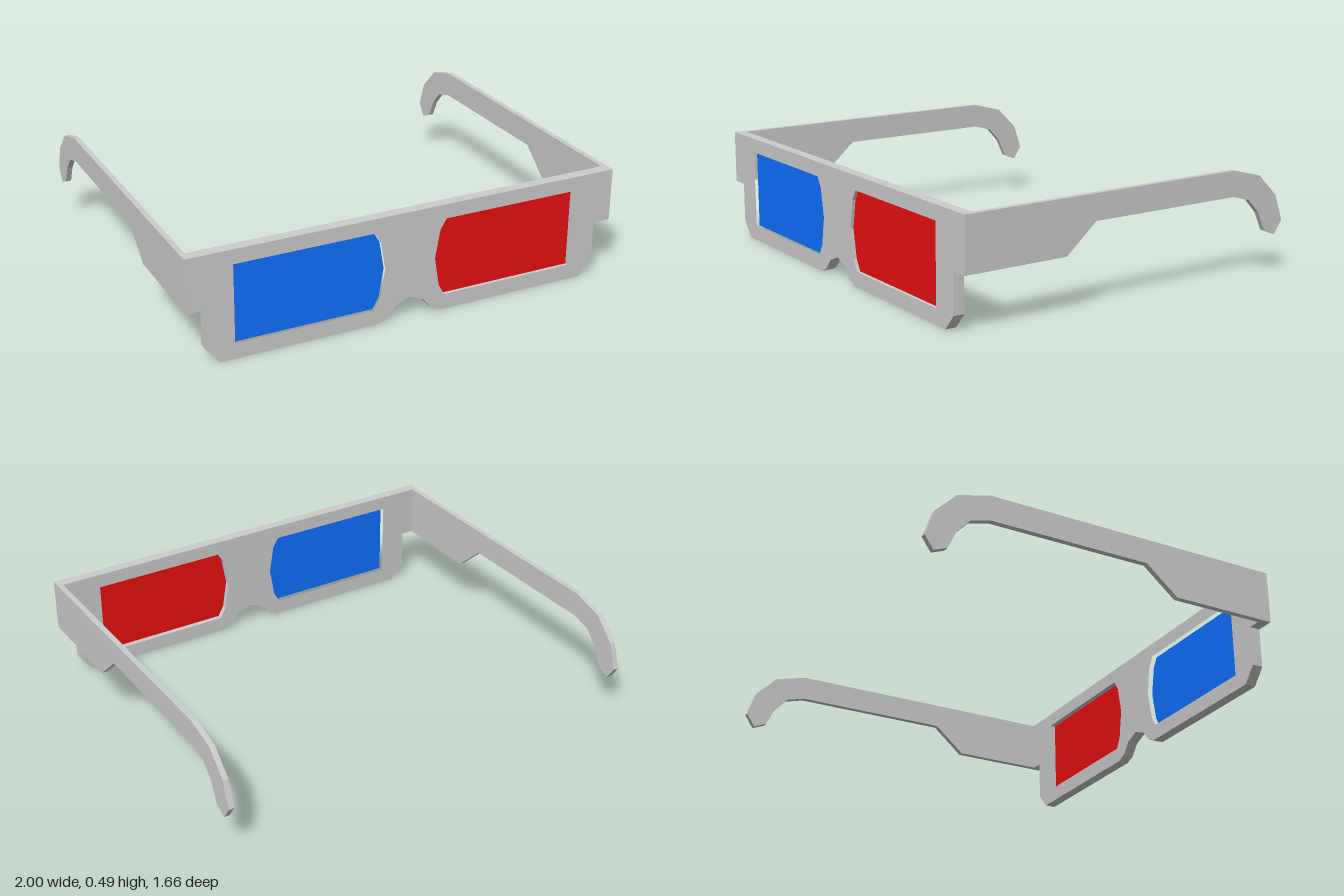
import * as THREE from 'three';

const FRONT_Z = 0.83, FRAME_DEPTH = 0.05, ARM_DEPTH = 0.025;

const vecs = (pts) => pts.map(([x, y]) => new THREE.Vector2(x, y));
const mirror = (pts) => pts.map(([x, y]) => [-x, y]);
const extrude = (shape, depth) =>
  new THREE.ExtrudeGeometry(shape, { depth, bevelEnabled: false });

// Half outline of the frame, from the top corner down to the nose bridge
const frameHalf = [
  [1, 0.49], [1, 0.25], [0.92, 0.25], [0.92, 0.07], [0.86, 0],
  [0.15, 0], [0.108, 0.018], [0.065, 0.07],
];

// Lens opening on the +x side
const lensOutline = [
  [0.795, 0.425], [0.168, 0.425], [0.14, 0.378], [0.118, 0.25],
  [0.14, 0.12], [0.168, 0.07], [0.795, 0.07],
];

// Side profile of an arm as [z, y], with the ear hook at the back
const armProfile = [
  [FRONT_Z - FRAME_DEPTH, 0.49], [-0.54, 0.49], [-0.69, 0.45], [-0.79, 0.35],
  [-0.83, 0.235], [-0.79, 0.175], [-0.73, 0.2], [-0.69, 0.285],
  [-0.63, 0.35], [-0.54, 0.375], [0.2, 0.375], [0.345, 0.25],
  [FRONT_Z - FRAME_DEPTH, 0.25],
];

export function createModel() {
  const group = new THREE.Group();
  const add = (name, geometry, color = 0xcccccc) => {
    const material = new THREE.MeshStandardMaterial({ color });
    const mesh = new THREE.Mesh(geometry, material);
    mesh.name = name;
    group.add(mesh);
  };

  // Front frame with two lens openings
  const frame = new THREE.Shape(
    vecs([...frameHalf, [0, 0.095], ...mirror(frameHalf).reverse()]));
  for (const pts of [lensOutline, mirror(lensOutline)])
    frame.holes.push(new THREE.Path(vecs(pts)));
  add('frame', extrude(frame, FRAME_DEPTH).translate(0, 0, FRONT_Z - FRAME_DEPTH));

  // Coloured lenses, set back inside the openings
  const addLens = (name, pts, color) =>
    add(name, extrude(new THREE.Shape(vecs(pts)), 0.01).translate(0, 0, 0.805), color);
  addLens('leftLens', lensOutline, 0xe81010);
  addLens('rightLens', mirror(lensOutline), 0x0f70ff);

  // Arms
  const arm = extrude(new THREE.Shape(vecs(armProfile)), ARM_DEPTH).rotateY(-Math.PI / 2);
  add('leftArm', arm.clone().translate(1, 0, 0));
  add('rightArm', arm.clone().translate(ARM_DEPTH - 1, 0, 0));

  return group;
}
